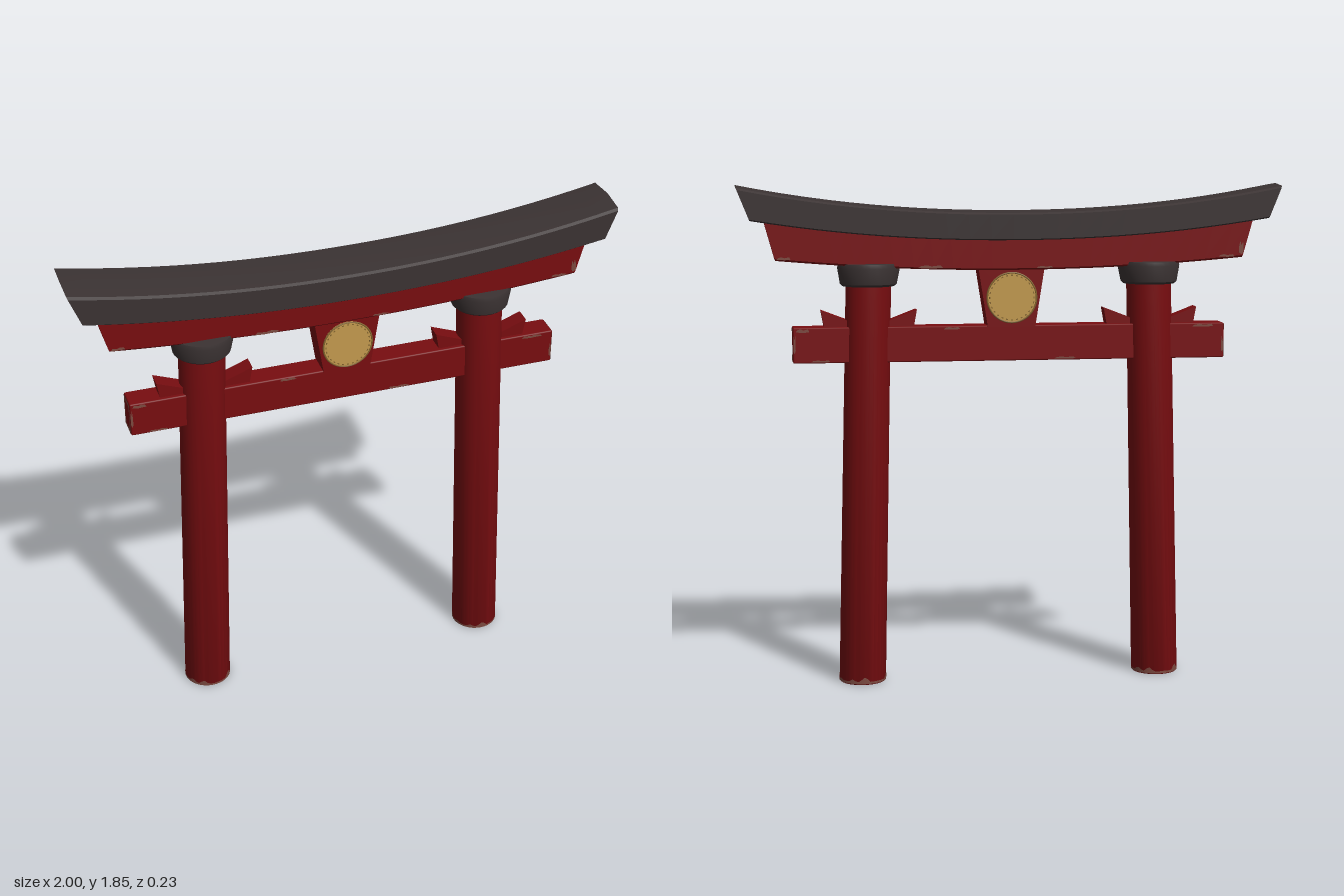
import * as THREE from 'three';
import { toCreasedNormals } from 'three/addons/utils/BufferGeometryUtils.js';
import { RoundedBoxGeometry } from 'three/addons/geometries/RoundedBoxGeometry.js';

const material = (name, color, side = THREE.FrontSide) => {
  const m = new THREE.MeshStandardMaterial({ color, side });
  m.name = name;
  return m;
};

// Curved beam along x: a (z, v) section swept between a lower and an upper curve.
function curvedBeam(section, halfLow, halfTop, low, top, steps = 24) {
  const n = section.length, pos = [], index = [];
  for (let i = 0; i <= steps; i++) {
    const t = (i / steps) * 2 - 1;
    for (const [z, v] of section) {
      const y0 = low(Math.abs(t)), y1 = top(Math.abs(t));
      pos.push(t * (halfLow + (halfTop - halfLow) * v), y0 + (y1 - y0) * v, z);
    }
  }
  for (let i = 0; i < steps; i++) for (let j = 0; j < n; j++) {
    const a = i * n + j, d = i * n + (j + 1) % n;
    index.push(a, a + n, d + n, a, d + n, d);
  }
  const e = steps * n;
  for (let j = 1; j < n - 1; j++) index.push(0, j, j + 1, e, e + j + 1, e + j);
  const g = new THREE.BufferGeometry();
  g.setAttribute('position', new THREE.Float32BufferAttribute(pos, 3));
  g.setIndex(index);
  return toCreasedNormals(g, 0.35);
}

// Plate outlined in x, y and centred on z = 0.
function plate(points, depth) {
  const shape = new THREE.Shape(points.map(([x, y]) => new THREE.Vector2(x, y)));
  return new THREE.ExtrudeGeometry(shape, { depth, bevelEnabled: false }).translate(0, 0, -depth / 2);
}

const lathe = (points) =>
  toCreasedNormals(new THREE.LatheGeometry(points.map(([r, y]) => new THREE.Vector2(r, y)), 32), 0.6);

export function createModel() {
  const group = new THREE.Group();
  group.name = 'gate';
  const red = material('red lacquer', 0x780d10);
  const dark = material('dark cap', 0x3b3333);
  const gold = material('gold', 0xc39a4e);
  const rimGold = material('dark gold', 0x86662f);
  const worn = material('worn wood', 0x7c4a40, THREE.DoubleSide);
  const add = (name, geometry, mat, parent = group) => {
    const mesh = new THREE.Mesh(geometry, mat);
    mesh.name = name;
    parent.add(mesh);
    return mesh;
  };

  // Upswept roof beam with a slightly crowned top, and the red beam beneath it
  add('roofBeam', curvedBeam(
    [[0.104, 0], [0.11, 0.04], [0.11, 0.88], [0.1, 0.94], [0, 1], [-0.1, 0.94], [-0.11, 0.88], [-0.11, 0.04], [-0.104, 0]],
    0.95, 1, (t) => 1.645 + 0.075 * t ** 2.1, (t) => 1.75 + 0.095 * t ** 2.1), dark);
  add('upperBeam', curvedBeam(
    [[0.064, 0], [0.07, 0.05], [0.07, 1], [-0.07, 1], [-0.07, 0.05], [-0.064, 0]],
    0.86, 0.9, (t) => 1.535 + 0.04 * t * t, (t) => 1.655 + 0.065 * t ** 2.1), red);

  // Pillars lean inwards by a shear so that their feet stay level
  for (const side of [1, -1]) {
    const lean = new THREE.Matrix4().set(
      1, -0.024 * side, 0, 0.557 * side, 0, 1, 0, 0, 0, 0, 1, 0, 0, 0, 0, 1);
    const label = side > 0 ? 'left' : 'right';
    add(label + 'Pillar', lathe([[0, 0], [0.083, 0], [0.087, 0.006], [0.083, 1.5], [0, 1.5]]).applyMatrix4(lean), red);
    add(label + 'Collar', lathe(
      [[0.07, 1.478], [0.095, 1.478], [0.104, 1.486], [0.115, 1.545], [0.112, 1.56], [0, 1.562]]).applyMatrix4(lean), dark);

    // Ragged worn band around the foot
    const band = new THREE.CylinderGeometry(0.0876, 0.0876, 1, 48, 1, true);
    const p = band.attributes.position;
    for (let i = 0; i < p.count; i++) {
      const a = (i % 49) / 48 * Math.PI * 2;
      const height = 0.012 + 0.02 * Math.max(0, Math.sin(a * 3 + side) * Math.cos(a * 7));
      p.setY(i, p.getY(i) > 0 ? height : 0.004);
    }
    band.computeVertexNormals();
    add(label + 'FootWear', band.applyMatrix4(lean), worn);

    // Wedges on both sides of the pillar
    for (const dir of [1, -1]) {
      const x = (off) => side * (0.522 + dir * off);
      add(label + (dir > 0 ? 'OuterWedge' : 'InnerWedge'), plate(
        [[x(0.06), 1.325], [x(0.163), 1.325], [x(0.175), 1.39], [x(0.06), 1.346]], 0.06), red);
    }

    // Worn frame on the end of the tie beam
    const frame = new THREE.Shape([[-0.041, -0.061], [0.041, -0.061], [0.041, 0.061], [-0.041, 0.061]]
      .map(([x, y]) => new THREE.Vector2(x, y)));
    frame.holes.push(new THREE.Path([[-0.025, -0.05], [-0.032, 0.01], [-0.022, 0.045], [0.025, 0.05], [0.034, 0], [0.022, -0.045]]
      .map(([x, y]) => new THREE.Vector2(x, y))));
    const end = add(label + 'BeamEndWear', new THREE.ShapeGeometry(frame), worn);
    end.rotation.y = side * Math.PI / 2;
    end.position.set(side * 0.801, 1.265, 0);
  }

  // Tie beam through the pillars
  const tie = add('tieBeam', new RoundedBoxGeometry(1.6, 0.13, 0.09, 1, 0.005), red);
  tie.position.y = 1.265;

  // Central plaque with a round medallion on each face
  add('plaque', plate([[-0.088, 1.325], [0.088, 1.325], [0.125, 1.56], [-0.125, 1.56]], 0.1), red);
  for (const face of [1, -1]) {
    const medal = new THREE.Group();
    medal.name = face > 0 ? 'frontMedallion' : 'backMedallion';
    medal.position.set(0, 1.433, face * 0.05);
    medal.rotation.y = face > 0 ? 0 : Math.PI;
    group.add(medal);
    add('medallionDisc', new THREE.CylinderGeometry(0.09, 0.092, 0.016, 40).rotateX(Math.PI / 2), gold, medal);
    add('medallionRim', new THREE.TorusGeometry(0.091, 0.0035, 6, 40).translate(0, 0, 0.007), rimGold, medal);
    for (let i = 0; i < 28; i++) {
      const a = i / 28 * Math.PI * 2;
      add('rimStud', new THREE.BoxGeometry(0.007, 0.004, 0.003)
        .translate(0, 0.082, 0.008).rotateZ(a), rimGold, medal);
    }

    // Small worn chips along the beam edges: x, y, width, height
    const chips = [
      [-0.765, 1.319, 0.05, 0.014], [-0.795, 1.27, 0.009, 0.07], [-0.7, 1.207, 0.07, 0.008],
      [-0.22, 1.322, 0.06, 0.01], [0.2, 1.208, 0.08, 0.009], [0.72, 1.321, 0.08, 0.011],
      [0.794, 1.25, 0.009, 0.06], [-0.3, 1.549, 0.09, 0.012], [0.12, 1.545, 0.06, 0.008],
      [0.855, 1.61, 0.018, 0.05], [-0.83, 1.583, 0.05, 0.011], [0.8, 1.581, 0.06, 0.01]];
    for (const [x, y, w, h] of chips) {
      const outline = [[-0.5, -0.3], [-0.1, -0.5], [0.5, -0.35], [0.4, 0.2], [0.15, 0.5], [-0.05, 0.15], [-0.4, 0.45]];
      const chip = add('wornChip', plate(outline.map(([u, v]) => [u * w, v * h]), 0.002), worn);
      chip.position.set(x * face, y, face * (y > 1.5 ? 0.07 : 0.045));
    }
  }
  return group;
}
